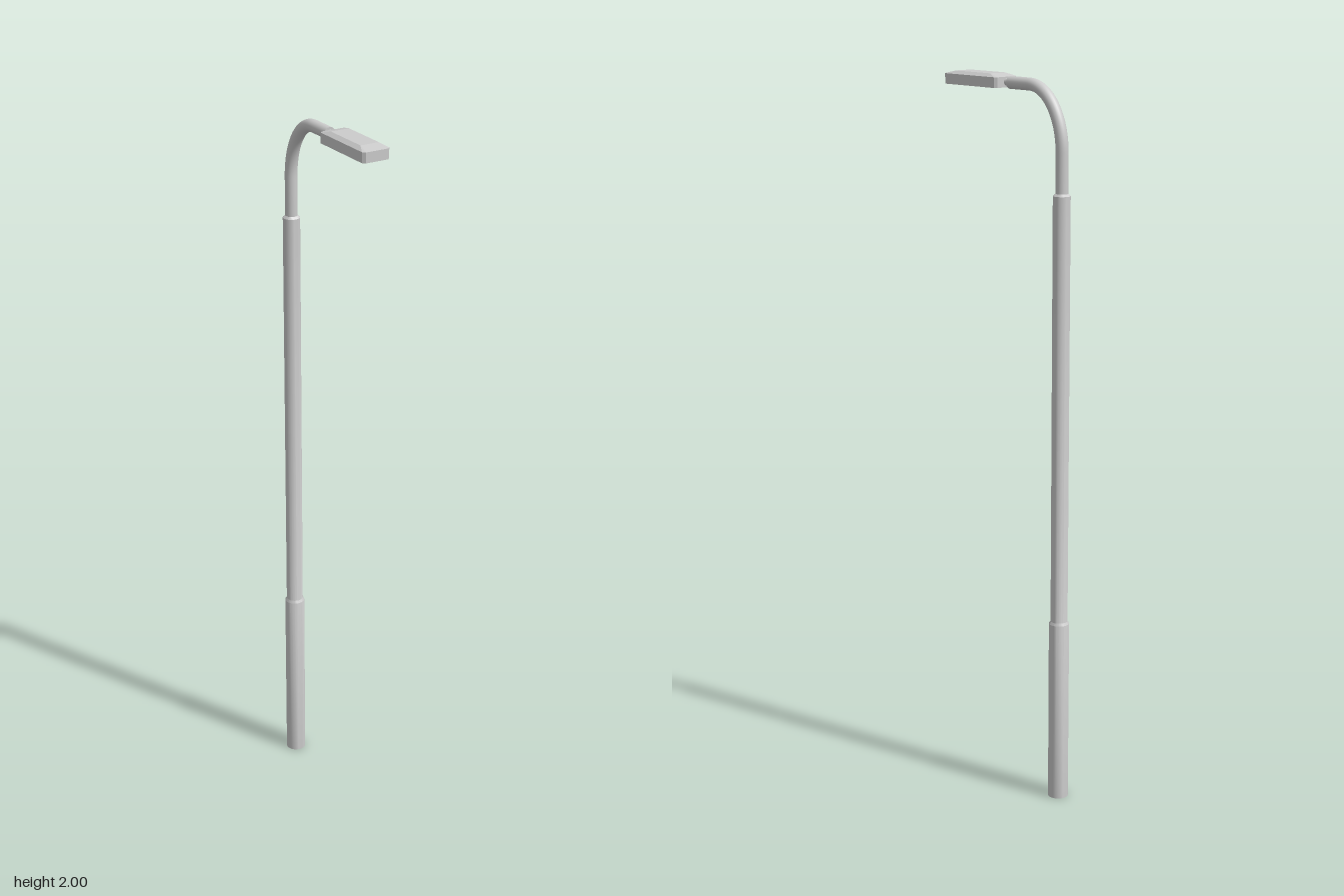
import * as THREE from 'three';
import { toCreasedNormals } from 'three/addons/utils/BufferGeometryUtils.js';

const POLE_Z = -0.197, ARM_Y = 1.978, ARM_R = 0.017;

// Rectangle ring with cut corners, counterclockwise seen from above
function ring(hx, z0, z1, cut, y) {
  return [
    [hx, z1 - cut], [hx, z0 + cut], [hx - cut, z0], [-hx + cut, z0],
    [-hx, z0 + cut], [-hx, z1 - cut], [-hx + cut, z1], [hx - cut, z1],
  ].map(([x, z]) => [x, y, z]);
}

// Flat-faced skin through a list of rings, closed at both ends
function loft(rings) {
  const pos = [];
  const tri = (a, b, c) => pos.push(...a, ...b, ...c);
  const n = rings[0].length, first = rings[0], last = rings[rings.length - 1];
  for (let r = 0; r < rings.length - 1; r++) {
    for (let i = 0; i < n; i++) {
      const j = (i + 1) % n, a = rings[r], b = rings[r + 1];
      tri(a[i], a[j], b[j]);
      tri(a[i], b[j], b[i]);
    }
  }
  for (let i = 1; i < n - 1; i++) {
    tri(first[0], first[i + 1], first[i]);
    tri(last[0], last[i], last[i + 1]);
  }
  const geo = new THREE.BufferGeometry();
  geo.setAttribute('position', new THREE.Float32BufferAttribute(pos, 3));
  geo.computeVertexNormals();
  return geo;
}

export function createModel() {
  const group = new THREE.Group();
  const mat = new THREE.MeshStandardMaterial({ color: 0xcccccc });
  const add = (name, geo, x = 0, y = 0, z = 0) => {
    const mesh = new THREE.Mesh(geo, mat);
    mesh.name = name;
    mesh.position.set(x, y, z);
    group.add(mesh);
    return mesh;
  };

  // Stepped pole: thick base and slimmer shaft with small bevels
  const profile = [
    [0, 0], [0.028, 0], [0.028, 0.513], [0.0235, 0.52],
    [0.0235, 1.696], [0.0175, 1.702], [0, 1.702],
  ].map(([r, y]) => new THREE.Vector2(r, y));
  add('pole', toCreasedNormals(new THREE.LatheGeometry(profile, 24), 0.6), 0, 0, POLE_Z);

  // Curved arm: rises from the shaft, bends forward and ends level
  const v = (y, z) => new THREE.Vector3(0, y, z);
  const path = new THREE.CurvePath();
  const bendY = 1.81, bendZ = -0.075, k = 0.55;
  path.add(new THREE.LineCurve3(v(1.69, POLE_Z), v(bendY, POLE_Z)));
  path.add(new THREE.CubicBezierCurve3(
    v(bendY, POLE_Z), v(bendY + (ARM_Y - bendY) * k, POLE_Z),
    v(ARM_Y, bendZ + (POLE_Z - bendZ) * k), v(ARM_Y, bendZ)));
  path.add(new THREE.LineCurve3(v(ARM_Y, bendZ), v(ARM_Y, 0)));
  add('arm', new THREE.TubeGeometry(path, 48, ARM_R, 24));
  add('armEnd', new THREE.CircleGeometry(ARM_R, 24), 0, ARM_Y, 0);

  // Thin spigot between arm and lamp
  const spigot = new THREE.CylinderGeometry(0.01, 0.01, 0.03, 16).rotateX(Math.PI / 2);
  add('spigot', spigot, 0, ARM_Y, 0.008);

  // Lamp housing: recessed underside, straight walls, shallow bevelled top
  add('lampHousing', loft([
    ring(0.034, 0.023, 0.217, 0.003, 1.975),
    ring(0.034, 0.023, 0.217, 0.003, 1.964),
    ring(0.04, 0.015, 0.225, 0.007, 1.964),
    ring(0.04, 0.015, 0.225, 0.007, 1.992),
    ring(0.027, 0.05, 0.19, 0.0005, 2.0),
  ]));

  // Light strips running along the recess
  for (let i = -1; i <= 1; i++) {
    add('lightStrip', new THREE.BoxGeometry(0.009, 0.008, 0.18), i * 0.02, 1.972, 0.12);
  }
  return group;
}
